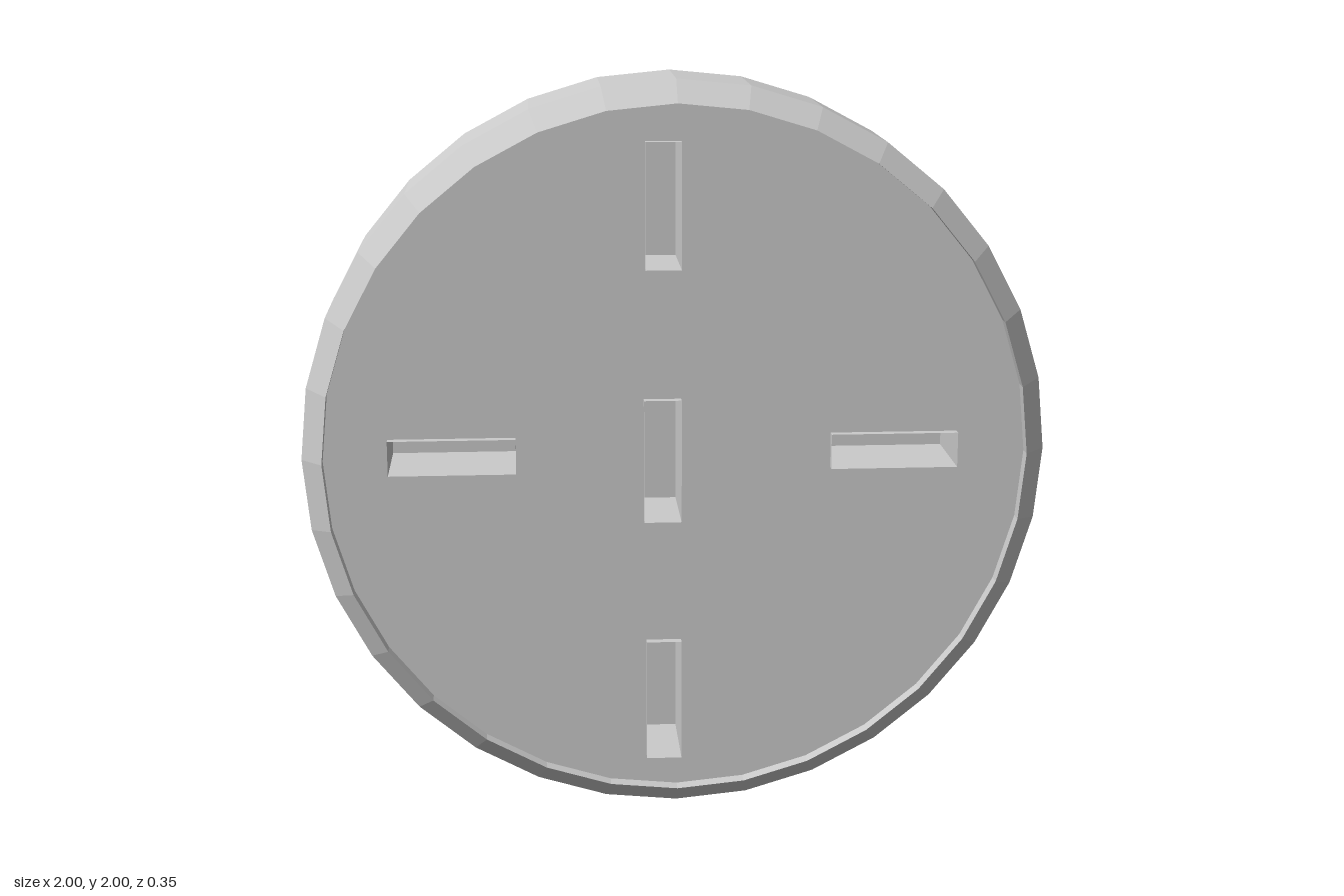
import * as THREE from 'three';

const SIDES = 32;
const BACK = -0.175, FRONT = 0.173, CHAMFER_Z = 0.11;
const FACE_Z = 0.133, COLLAR_Z = 0.157;
const FACE_RADIUS = 0.942;
const POCKET_DEPTH = 0.25;

// Slots in the front face: name, left, right, bottom, top (heights relative to the disc centre)
const SLOTS = [
  ['upperSlot', -0.083, 0.012, 0.507, 0.842],
  ['centreSlot', -0.088, 0.012, -0.179, 0.157],
  ['lowerSlot', -0.083, 0.012, -0.857, -0.519],
  ['rightSlot', -0.77, -0.43, -0.038, 0.057],
  ['leftSlot', 0.415, 0.757, -0.038, 0.057],
];

export function createModel() {
  const group = new THREE.Group();
  const solid = new THREE.MeshStandardMaterial({ color: 0xcccccc, flatShading: true });
  const thin = new THREE.MeshStandardMaterial({ color: 0xcccccc, flatShading: true, side: THREE.DoubleSide });
  const add = (name, geometry, material) => {
    const mesh = new THREE.Mesh(geometry, material);
    mesh.name = name;
    mesh.position.y = 1;
    group.add(mesh);
  };

  // Flat back, rim, chamfer and the inner wall down to the recessed face
  const profile = [[0, BACK], [1, BACK], [1, CHAMFER_Z], [FACE_RADIUS, FRONT], [FACE_RADIUS, FACE_Z]]
    .map(([r, z]) => new THREE.Vector2(r, z));
  const body = new THREE.LatheGeometry(profile, SIDES).rotateX(Math.PI / 2).toNonIndexed();
  body.computeVertexNormals();
  add('discBody', body, solid);

  // Recessed front face with slot openings
  const face = new THREE.Shape(Array.from({ length: SIDES }, (_, i) => {
    const a = (i / SIDES) * Math.PI * 2;
    return new THREE.Vector2(Math.cos(a) * FACE_RADIUS, Math.sin(a) * FACE_RADIUS);
  }));
  for (const [, l, r, b, t] of SLOTS) {
    face.holes.push(new THREE.Path([[l, b], [l, t], [r, t], [r, b]].map(([x, y]) => new THREE.Vector2(x, y))));
  }
  add('frontFace', new THREE.ShapeGeometry(face).translate(0, 0, FACE_Z), solid);

  // Thin-walled blind pockets, open at the front and standing slightly proud of the face
  for (const [name, l, r, b, t] of SLOTS) {
    const box = new THREE.BoxGeometry(r - l, t - b, POCKET_DEPTH);
    const index = Array.from(box.index.array);
    index.splice(24, 6); // leave the front open
    box.setIndex(index.reverse());
    const pocket = box.toNonIndexed();
    pocket.computeVertexNormals();
    pocket.translate((l + r) / 2, (b + t) / 2, COLLAR_Z - POCKET_DEPTH / 2);
    add(name, pocket, thin);
  }
  return group;
}
